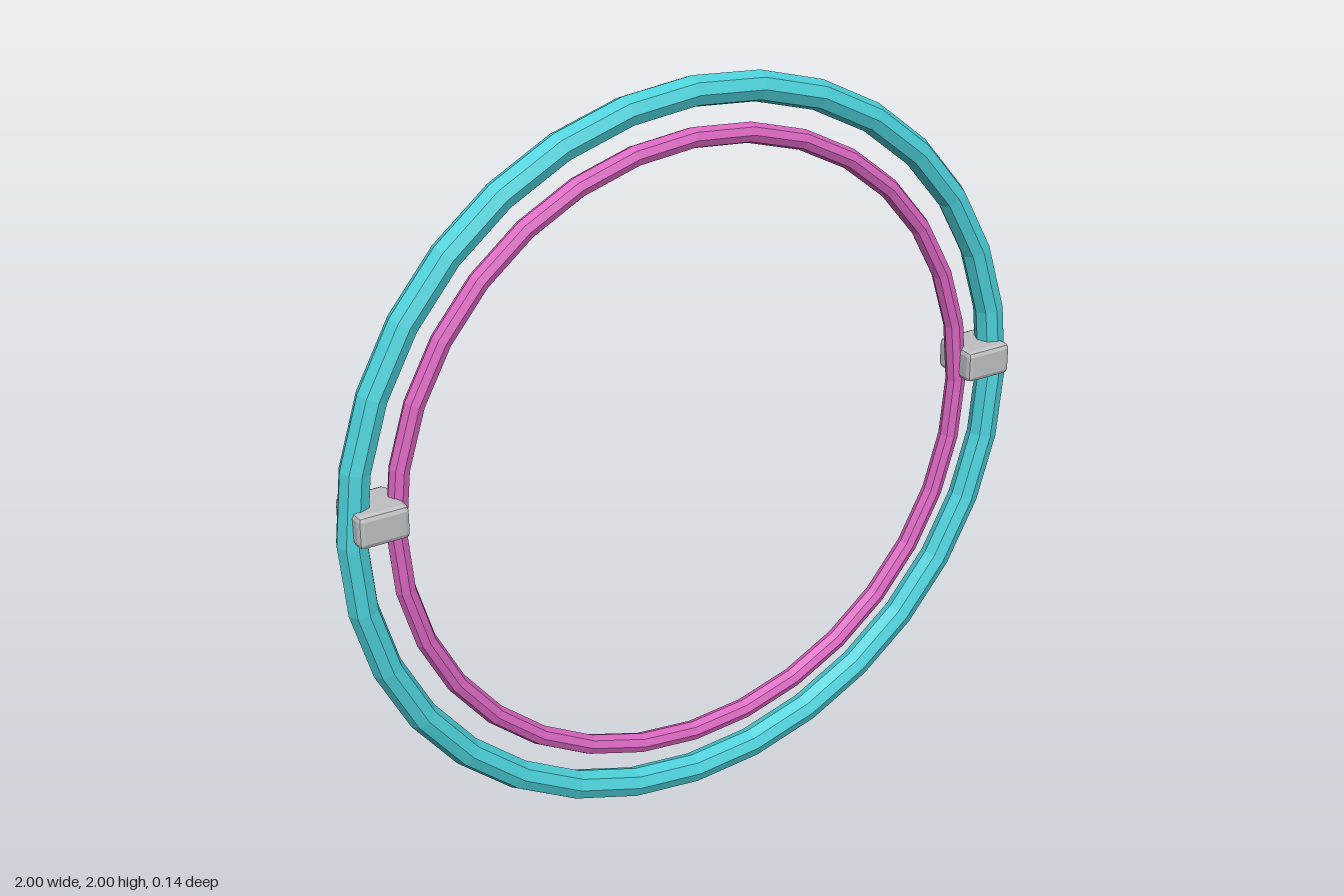
import * as THREE from 'three';
import { RoundedBoxGeometry } from 'three/addons/geometries/RoundedBoxGeometry.js';

function material(name, color) {
  const m = new THREE.MeshStandardMaterial({ color, flatShading: true });
  m.name = name;
  return m;
}

export function createModel() {
  const model = new THREE.Group();
  model.name = 'doubleHoop';

  const cyan = material('cyan', 0x4dd0da);
  const pink = material('pink', 0xd966c0);
  const grey = material('light grey', 0xbfc0c2);

  const add = (name, geometry, mat, x, y) => {
    const mesh = new THREE.Mesh(geometry, mat);
    mesh.name = name;
    mesh.position.set(x, y, 0);
    model.add(mesh);
  };

  // Two concentric upright hoops with faceted tubes
  add('outerHoop', new THREE.TorusGeometry(0.96, 0.04, 8, 32), cyan, 0, 1);
  add('innerHoop', new THREE.TorusGeometry(0.842, 0.027, 8, 32), pink, 0, 1);

  // Bevelled clips joining the hoops on both sides
  const clip = new RoundedBoxGeometry(0.136, 0.088, 0.14, 1, 0.014);
  add('leftClip', clip, grey, 0.902, 1.054);
  add('rightClip', clip, grey, -0.902, 1.054);

  return model;
}
